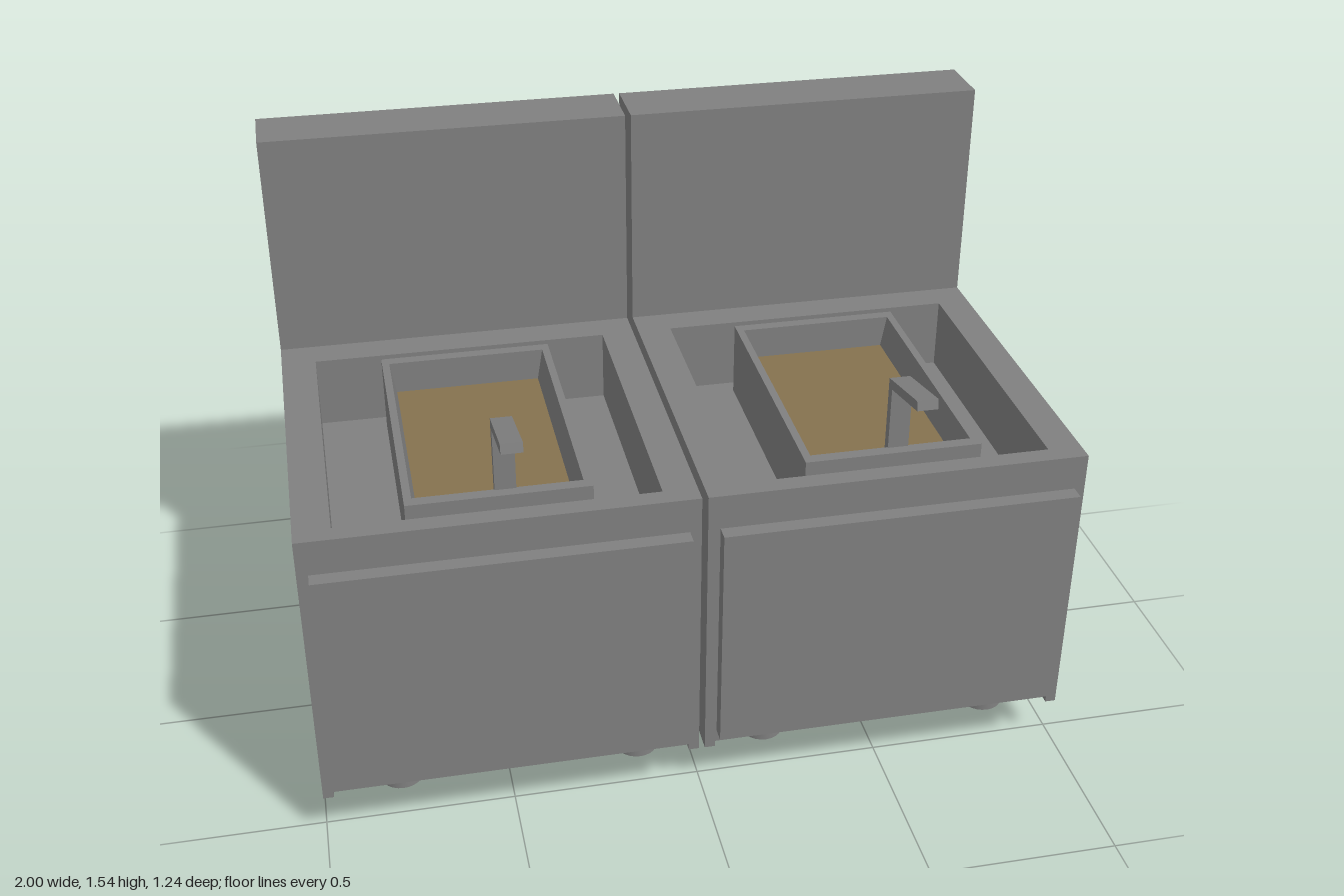
import * as THREE from 'three';

const steel = new THREE.MeshStandardMaterial({ color: 0x808080 });
const oil = new THREE.MeshStandardMaterial({ color: 0x85724f });

function add(parent, name, geometry, material = steel) {
  const mesh = new THREE.Mesh(geometry, material);
  mesh.name = name;
  parent.add(mesh);
  return mesh;
}

// Box given by its limits on each axis
function box(parent, name, x0, x1, y0, y1, z0, z1, material) {
  const mesh = add(parent, name, new THREE.BoxGeometry(x1 - x0, y1 - y0, z1 - z0), material);
  mesh.position.set((x0 + x1) / 2, (y0 + y1) / 2, (z0 + z1) / 2);
}

const polygon = (points) => new THREE.Shape(points.map(([x, y]) => new THREE.Vector2(x, y)));
const rectangle = (x0, x1, y0, y1) => polygon([[x0, y0], [x1, y0], [x1, y1], [x0, y1]]);
const extrude = (shape, depth) => new THREE.ExtrudeGeometry(shape, { depth, bevelEnabled: false });

function makeFoot() {
  const foot = new THREE.Group();
  foot.name = 'foot';
  // name, radius, bottom and top of each stacked section
  const sections = [
    ['footSleeve', 0.047, 0.063, 0.128],
    ['footStem', 0.039, 0.022, 0.063],
    ['footPad', 0.057, 0, 0.022],
  ];
  for (const [name, r, y0, y1] of sections) {
    add(foot, name, new THREE.CylinderGeometry(r, r, y1 - y0, 24)).position.y = (y0 + y1) / 2;
  }
  return foot;
}

function makeBasin() {
  const basin = new THREE.Group();
  basin.name = 'basin';
  const bottom = 0.72, top = 0.93, oilTop = 0.84, back = -0.306, front = 0.46;
  // Side walls thicken toward the bottom, so their inner faces lean
  for (const s of [-1, 1]) {
    const points = [[0.233 * s, bottom], [0.233 * s, top], [0.213 * s, top], [0.198 * s, oilTop], [0.198 * s, bottom]];
    add(basin, 'basinSide', extrude(polygon(points), front - back)).position.z = back;
  }
  box(basin, 'basinBack', -0.213, 0.213, bottom, top, back, -0.275);
  box(basin, 'basinFront', -0.213, 0.213, bottom, top, 0.428, front);
  box(basin, 'oil', -0.2, 0.2, bottom, oilTop, -0.275, 0.428, oil);
  return basin;
}

function makeUnit() {
  const unit = new THREE.Group();
  unit.name = 'fryerUnit';
  const w = 0.496, bottom = 0.128, toe = 0.197, floor = 0.72, deck = 0.918;
  const back = -0.62, front = 0.553;

  // Cabinet with a shallow toe recess between its side panels
  box(unit, 'cabinet', -w, w, toe, floor, back, front);
  box(unit, 'cabinetBase', -w, w, bottom, toe, back, front - 0.02);
  for (const s of [-1, 1]) {
    const edges = [0.468 * s, w * s].sort((a, b) => a - b);
    box(unit, 'toeSide', ...edges, bottom, toe, front - 0.02, front);
  }

  // Rectangular well sunk into the top
  const rim = rectangle(-w, w, -front, -back);
  rim.holes.push(rectangle(-0.403, 0.407, -0.502, 0.352));
  const well = add(unit, 'wellSurround', extrude(rim, deck - floor).rotateX(-Math.PI / 2));
  well.position.y = floor;
  box(unit, 'backsplash', -w, w, deck, 1.537, back, -0.443);

  // Front door, standing slightly off the cabinet
  box(unit, 'door', -0.467, 0.464, 0.19, 0.83, 0.563, 0.604);

  const basin = makeBasin();
  basin.position.x = 0.009;
  unit.add(basin);

  // Bent flat handle: profile in z and y, extruded across x
  const profile = polygon([[0.407, 0.82], [0.432, 0.82], [0.432, 1.1], [0.62, 1.143], [0.614, 1.168], [0.407, 1.12]]);
  const handle = add(unit, 'handle', extrude(profile, 0.054).rotateY(-Math.PI / 2));
  handle.position.x = 0.054;

  for (const x of [-0.286, 0.364]) {
    for (const z of [0.35, -0.48]) {
      const foot = makeFoot();
      foot.position.set(x, 0, z);
      unit.add(foot);
    }
  }
  return unit;
}

export function createModel() {
  const model = new THREE.Group();
  model.name = 'doubleFryer';
  for (const x of [-0.504, 0.504]) {
    const unit = makeUnit();
    unit.position.x = x;
    model.add(unit);
  }
  return model;
}
